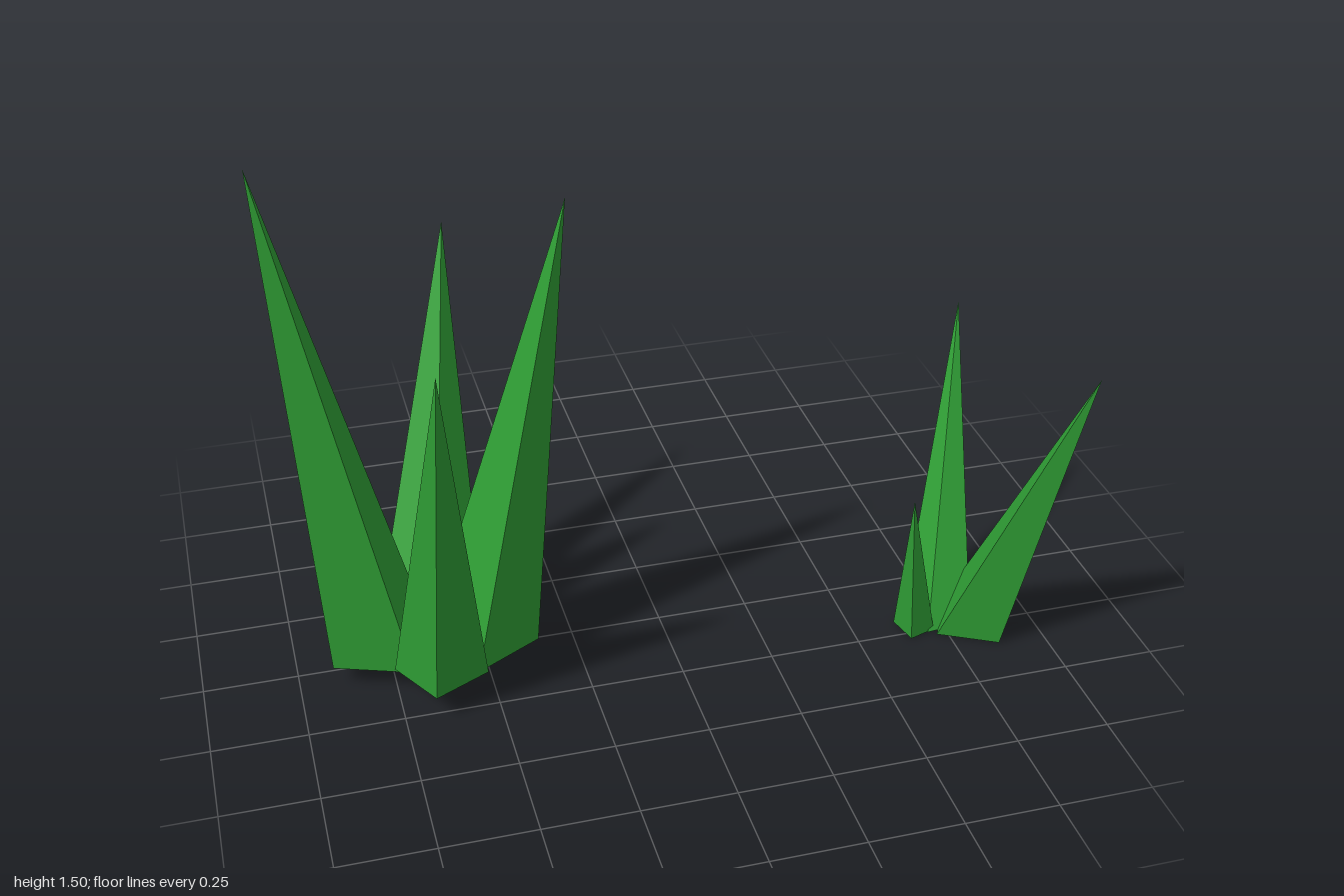
import * as THREE from 'three';

const material = new THREE.MeshStandardMaterial({ color: 0x2f9e35, flatShading: true });

// A leaning four-sided spike: base is a parallelogram from three corners
// [x, z] (clockwise from above) at height y, tapering to the tip.
function blade(name, y, [a, b, c], tip) {
  const d = [a[0] + c[0] - b[0], a[1] + c[1] - b[1]];
  const base = [a, b, c, d].map(([x, z]) => [x, y, z]);
  const points = [];
  for (let i = 0; i < 4; i++) points.push(base[(i + 1) % 4], base[i], tip);
  points.push(base[0], base[1], base[2], base[0], base[2], base[3]);
  const geometry = new THREE.BufferGeometry();
  geometry.setAttribute('position', new THREE.Float32BufferAttribute(points.flat(), 3));
  geometry.computeVertexNormals();
  const mesh = new THREE.Mesh(geometry, material);
  mesh.name = name;
  return mesh;
}

function tuft(name, blades) {
  const group = new THREE.Group();
  group.name = name;
  for (const args of blades) group.add(blade(...args));
  return group;
}

export function createModel() {
  const model = new THREE.Group();
  model.name = 'grass';

  // Tall tuft: four blades spreading outwards
  model.add(tuft('largeTuft', [
    ['rightBlade', 0.057, [[-0.84, -0.145], [-0.635, -0.07], [-0.705, 0.14]], [-1, 1.5, 0.06]],
    ['leftBlade', 0.06, [[-0.54, 0.185], [-0.65, -0.01], [-0.47, -0.11]], [-0.25, 1.34, 0.06]],
    ['frontBlade', 0.075, [[-0.755, 0.135], [-0.605, 0.06], [-0.52, 0.21]], [-0.64, 1.1, 0.425]],
    ['backBlade', 0.075, [[-0.475, -0.11], [-0.625, 0.025], [-0.76, -0.12]], [-0.47, 1.05, -0.5]],
  ]));

  // Short tuft: three blades
  model.add(tuft('smallTuft', [
    ['frontBlade', 0, [[0.805, 0.115], [0.955, 0.195], [0.87, 0.355]], [1, 0.89, 0.5]],
    ['backBlade', 0, [[0.675, 0.135], [0.805, 0.12], [0.83, 0.245]], [0.92, 0.77, -0.2]],
    ['sideBlade', 0, [[0.625, 0.19], [0.7, 0.165], [0.72, 0.25]], [0.62, 0.46, 0.285]],
  ]));
  return model;
}
